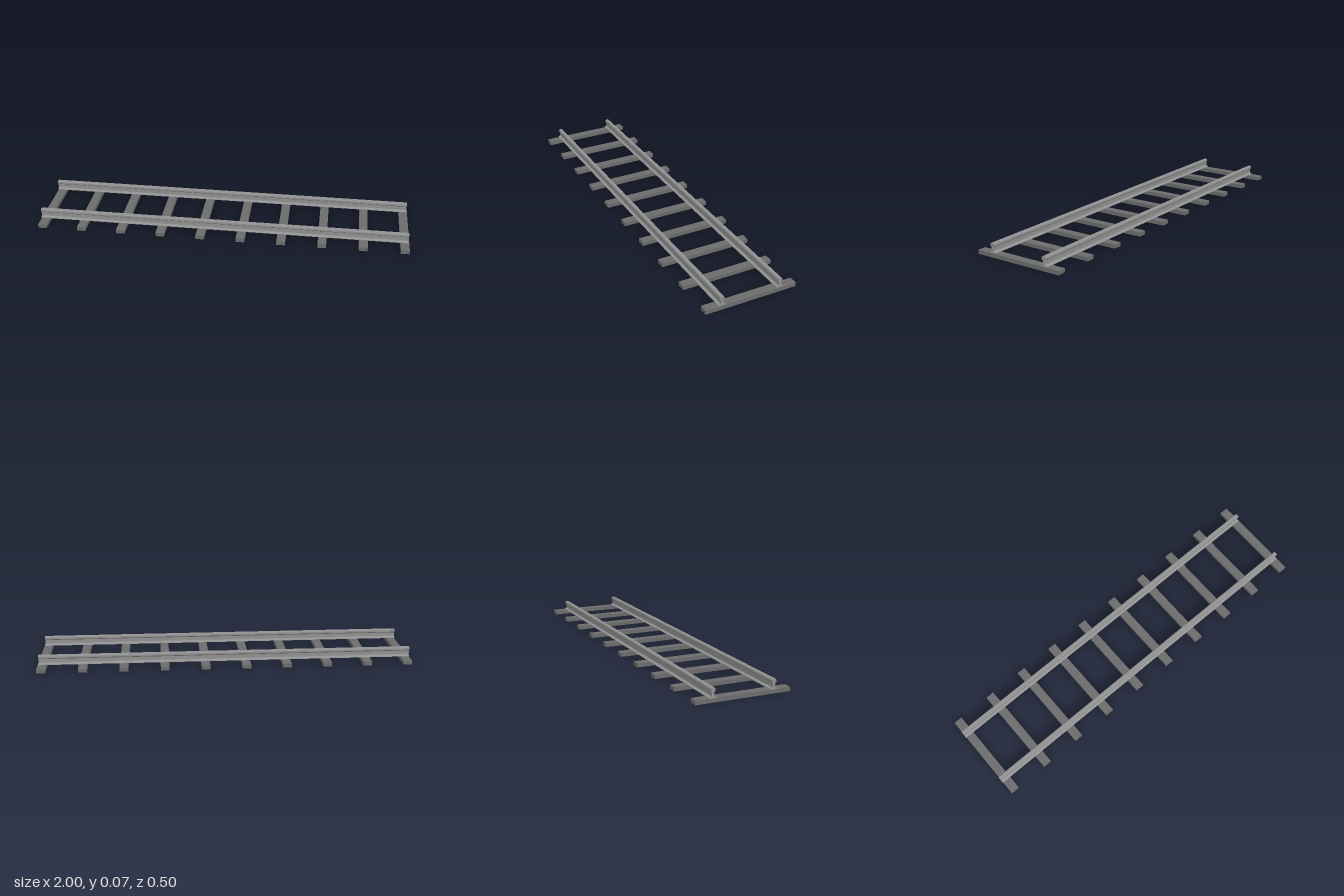
import * as THREE from 'three';

export function createModel() {
  const track = new THREE.Group();
  track.name = 'railwayTrack';

  const steel = new THREE.MeshStandardMaterial({ color: 0x919191 });
  steel.name = 'rail grey';
  const tie = new THREE.MeshStandardMaterial({ color: 0x6c6c6c });
  tie.name = 'sleeper grey';

  // Sleepers, evenly spaced along x
  const count = 10, first = -0.974, last = 0.977;
  const sleeperGeometry = new THREE.BoxGeometry(0.046, 0.021, 0.498);
  for (let i = 0; i < count; i++) {
    const sleeper = new THREE.Mesh(sleeperGeometry, tie);
    sleeper.name = `sleeper${i + 1}`;
    sleeper.position.set(first + (last - first) * i / (count - 1), 0.0105, 0);
    track.add(sleeper);
  }

  // Half profile of a rail: foot, web and chamfered head
  const half = [
    [0.018, 0.021], [0.018, 0.024], [0.012, 0.027], [0.0065, 0.029],
    [0.0055, 0.032], [0.0055, 0.051], [0.0085, 0.054], [0.0115, 0.057],
    [0.0115, 0.066], [0.0075, 0.0715],
  ];
  const outline = [...half, ...half.map(([w, y]) => [-w, y]).reverse()];
  const profile = new THREE.Shape(outline.map(([w, y]) => new THREE.Vector2(w, y)));
  const length = 1.996;
  const railGeometry = new THREE.ExtrudeGeometry(profile, { depth: length, bevelEnabled: false });
  railGeometry.rotateY(Math.PI / 2);

  // One rail on each side
  for (const side of [1, -1]) {
    const rail = new THREE.Mesh(railGeometry, steel);
    rail.name = side > 0 ? 'frontRail' : 'backRail';
    rail.position.set(-1, 0, side * 0.16);
    track.add(rail);
  }
  return track;
}
